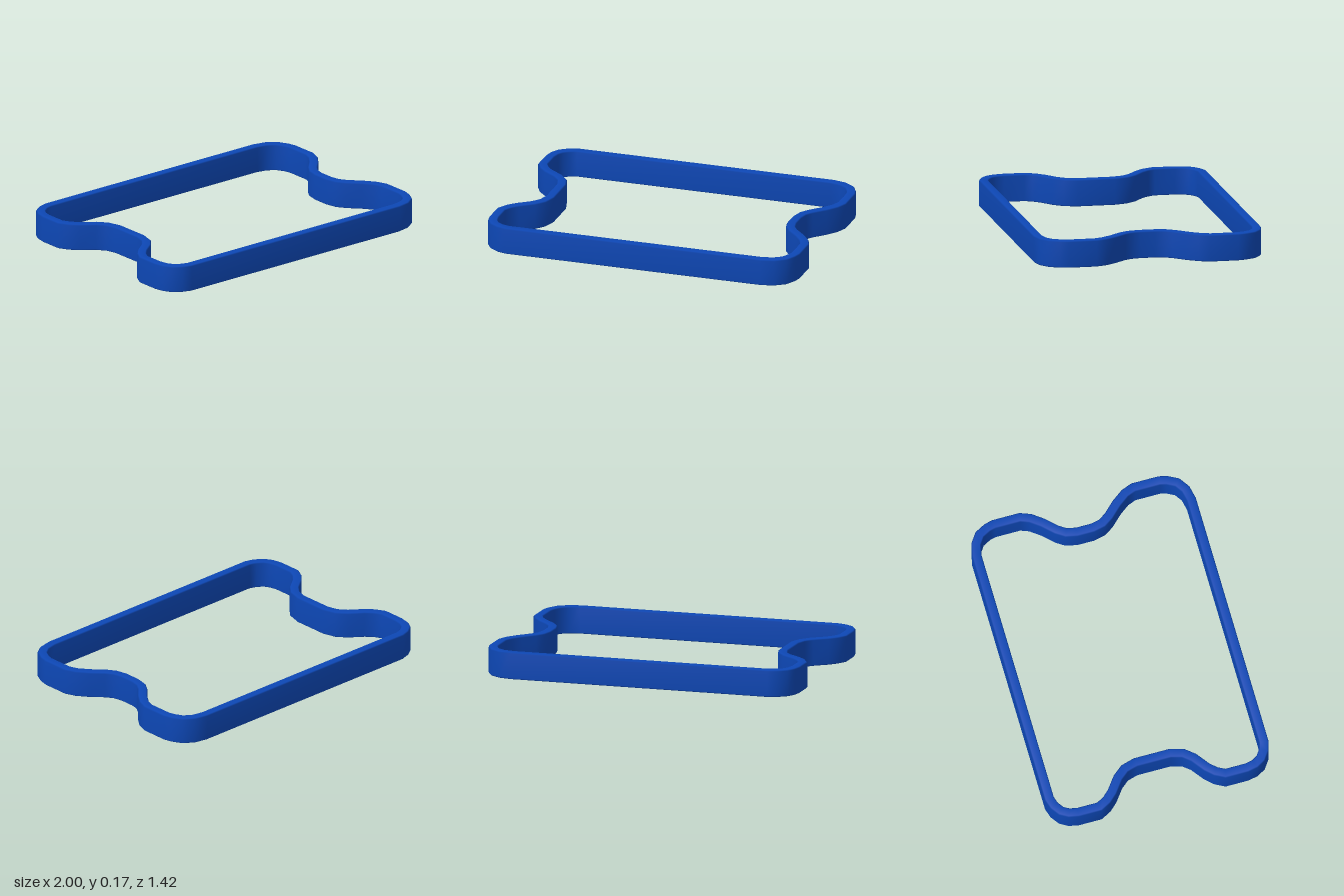
import * as THREE from 'three';

const HALF_WALL = 0.029, HEIGHT = 0.167, BEVEL = 0.007;

// Back half of each side's wall centreline [x, z], from the corner to the waist
const leftSide = [[0.8, -0.681], [0.875, -0.665], [0.93, -0.627], [0.96, -0.57], [0.971, -0.525],
  [0.971, -0.36], [0.948, -0.3], [0.9, -0.235], [0.833, -0.165], [0.8, -0.115], [0.786, -0.05]];
const rightSide = [[-0.84, -0.681], [-0.89, -0.665], [-0.935, -0.633], [-0.96, -0.59], [-0.971, -0.535],
  [-0.971, -0.4], [-0.942, -0.345], [-0.9, -0.3], [-0.82, -0.24], [-0.775, -0.185], [-0.754, -0.11]];

// Mirror a half side front to back
const mirrored = half => [...half, ...half.map(([x, z]) => [x, -z]).reverse()];

// Wall cross-section [outward offset, height] with softened edges
const w = HALF_WALL, b = BEVEL, h = HEIGHT;
const section = [[w, b], [w, h - b], [w - b, h], [b - w, h], [-w, h - b], [-w, b], [b - w, 0], [w - b, 0]];

// Sweep the cross-section around a closed path with mitred corners
function sweepWall(path) {
  const n = path.length, m = section.length;
  const positions = [], index = [];
  const direction = (p, q) => new THREE.Vector2(q[0] - p[0], q[1] - p[1]).normalize();
  for (let i = 0; i < n; i++) {
    const before = direction(path[(i + n - 1) % n], path[i]);
    const after = direction(path[i], path[(i + 1) % n]);
    const tangent = before.clone().add(after).normalize();
    const mitre = 1 / tangent.dot(after);
    for (const [out, y] of section) {
      positions.push(path[i][0] + tangent.y * out * mitre, y, path[i][1] - tangent.x * out * mitre);
    }
    for (let j = 0; j < m; j++) {
      const k = (j + 1) % m, next = (i + 1) % n;
      index.push(i * m + j, i * m + k, next * m + j, i * m + k, next * m + k, next * m + j);
    }
  }
  const geometry = new THREE.BufferGeometry();
  geometry.setAttribute('position', new THREE.Float32BufferAttribute(positions, 3));
  geometry.setIndex(index);
  geometry.computeVertexNormals();
  return geometry;
}

export function createModel() {
  const group = new THREE.Group();
  group.name = 'waistedFrame';
  // One continuous wall: down the left side, then back along the right
  const path = [...mirrored(leftSide), ...mirrored(rightSide).reverse()];
  const wall = new THREE.Mesh(sweepWall(path), new THREE.MeshStandardMaterial({ color: 0x0d47b5 }));
  wall.name = 'frameWall';
  group.add(wall);
  return group;
}
